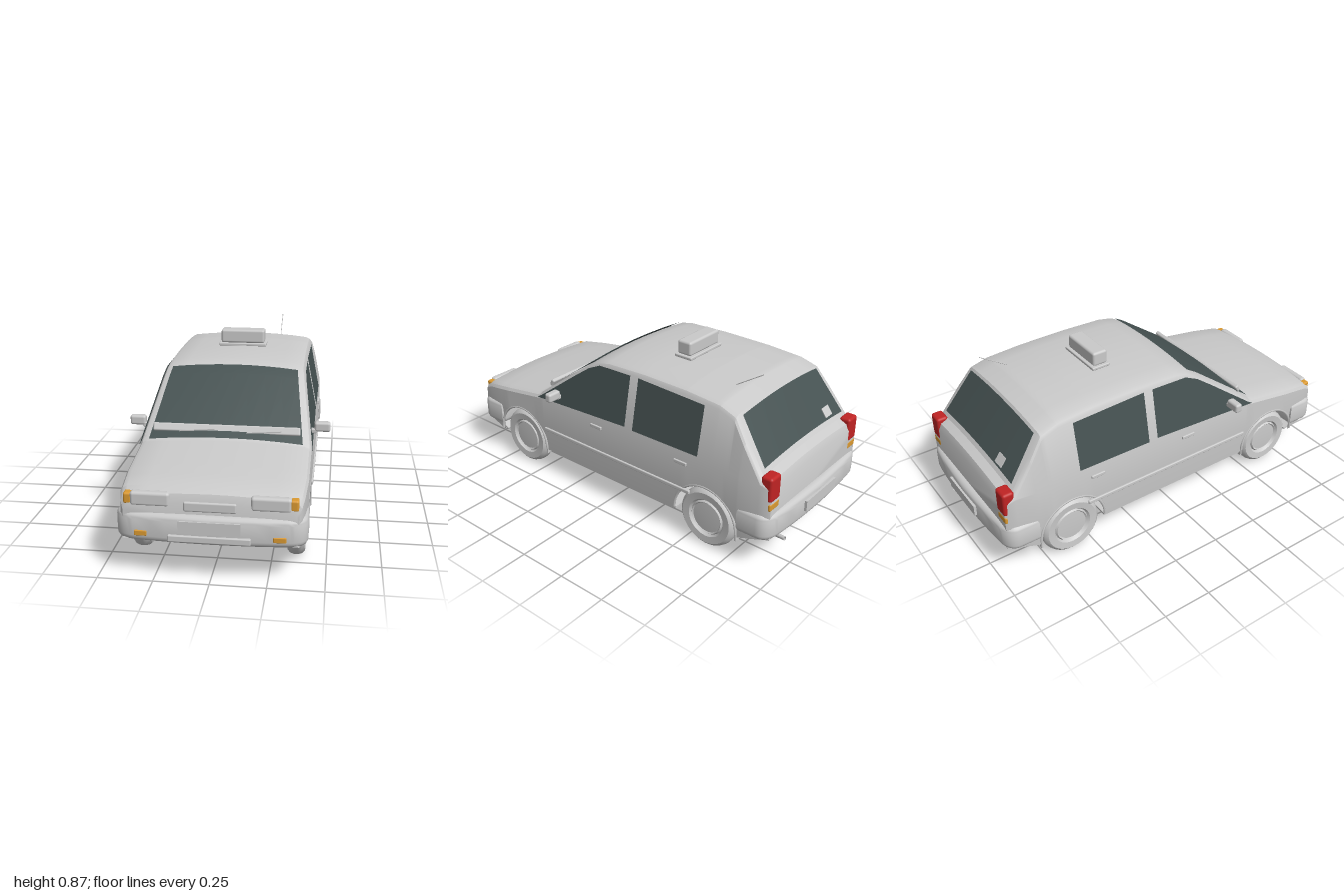
import * as THREE from 'three';
import { toCreasedNormals } from 'three/addons/utils/BufferGeometryUtils.js';
import { RoundedBoxGeometry } from 'three/addons/geometries/RoundedBoxGeometry.js';

const paint = new THREE.MeshStandardMaterial({ name: 'paintGrey', color: 0xcacaca, side: THREE.DoubleSide });
const glass = new THREE.MeshStandardMaterial({ name: 'darkGlass', color: 0x465252, side: THREE.DoubleSide });
const amber = new THREE.MeshStandardMaterial({ name: 'amberLamp', color: 0xdb9a32 });
const red = new THREE.MeshStandardMaterial({ name: 'redLamp', color: 0xc02424 });

// centre-line height, plan narrowing, sill height and wheel arches, all along z
const PROFILE = [[0.96, 0.36], [0.945, 0.4], [0.9, 0.425], [0.75, 0.45], [0.6, 0.472], [0.49, 0.488], [0.165, 0.727],
  [0.1, 0.765], [0.03, 0.78], [-0.2, 0.788], [-0.45, 0.785], [-0.64, 0.772], [-0.73, 0.743], [-0.9, 0.508],
  [-0.94, 0.49], [-0.955, 0.455]];
const NARROW = [[0.96, 0.92], [0.945, 0.95], [0.9, 0.975], [0.75, 1], [-0.8, 1], [-0.9, 0.975], [-0.94, 0.955], [-0.955, 0.93]];
const WHEELS = [0.63, -0.615], WHEEL_Y = 0.155, ARCH = 0.175;

function lerpTable(table, z) {
  if (z >= table[0][0]) return table[0][1];
  for (let i = 1; i < table.length; i++) {
    const [z1, v1] = table[i], [z0, v0] = table[i - 1];
    if (z >= z1) return v0 + (v1 - v0) * (z - z0) / (z1 - z0);
  }
  return table[table.length - 1][1];
}
const top = (z) => lerpTable(PROFILE, z);
const width = (y) => y > 0.46 ? 0.41 - (y - 0.46) * 0.2 : y > 0.3 ? 0.415 - (y - 0.3) * 0.03 : 0.415 - (0.3 - y) * 0.07;
function bottom(z) {
  for (const w of WHEELS) {
    const d = Math.abs(z - w);
    if (d <= ARCH) return WHEEL_Y + Math.sqrt(ARCH * ARCH - d * d);
  }
  return 0.135 + 0.05 * Math.max(0, (Math.abs(z) - 0.8) / 0.16);
}
// point on the bonnet, screens or roof; u runs -1..1 across
function topPoint(u, z) {
  const t = top(z);
  return [u * (width(t - 0.045) - 0.03) * lerpTable(NARROW, z), t - 0.02 * u * u, z];
}

// indexed surface from rows of points
function loft(rows, caps) {
  const n = rows[0].length, index = [], last = (rows.length - 1) * n;
  for (let i = 0; i < rows.length - 1; i++) for (let j = 0; j < n - 1; j++) {
    const a = i * n + j, b = a + n;
    index.push(a, b, a + 1, b, b + 1, a + 1);
  }
  if (caps) for (let j = 1; j < n - 1; j++) {
    index.push(0, j, j + 1, last, last + j + 1, last + j);
  }
  const g = new THREE.BufferGeometry();
  g.setAttribute('position', new THREE.Float32BufferAttribute(rows.flat(2), 3));
  g.setIndex(index);
  return toCreasedNormals(g, 0.5);
}

function bodyGeometry() {
  const zs = [...PROFILE, ...NARROW].map((p) => p[0]);
  for (const w of WHEELS) {
    for (let a = 0; a <= 16; a++) zs.push(w + ARCH * 0.99999 * Math.cos(a * Math.PI / 16));
    zs.push(w + ARCH + 0.001, w - ARCH - 0.001);
  }
  const rows = [...new Set(zs)].sort((a, b) => b - a).map((z) => {
    const t = top(z), b = bottom(z), s = lerpTable(NARROW, z);
    const side = [b, Math.max(Math.min(0.3, t - 0.07), b + 0.02), Math.min(0.46, t - 0.05), t - 0.045]
      .map((y) => [width(y) * s, y, z]);
    side.push([(width(t - 0.045) - 0.01) * s, t - 0.03, z]);
    const crown = [];
    for (let k = 4; k >= -4; k--) crown.push(topPoint(k / 4, z));
    return [...side, ...crown, ...side.map(([x, y]) => [-x, y, z]).reverse()];
  });
  return loft(rows, true);
}

// glass following the sloping front or rear of the cabin
function screenGeometry(zs, u, dz) {
  return loft(zs.map((z) => {
    const row = [];
    for (let k = 4; k >= -4; k--) {
      const [x, y] = topPoint(u * k / 4, z);
      row.push([x, y + 0.005, z + dz]);
    }
    return row;
  }), false);
}

// flat side window from (z, y) outline points
function sideWindow(points, side) {
  const g = new THREE.ShapeGeometry(new THREE.Shape(points.map(([z, y]) => new THREE.Vector2(z, y))));
  const p = g.attributes.position;
  for (let i = 0; i < p.count; i++) {
    const z = p.getX(i), y = p.getY(i);
    p.setXYZ(i, side * (width(y) + 0.004), y, z);
  }
  g.computeVertexNormals();
  return g;
}

function bumperGeometry() {
  const s = new THREE.Shape();
  s.moveTo(-0.39, 0.83);
  s.lineTo(0.39, 0.83);
  s.lineTo(0.39, 0.9);
  s.quadraticCurveTo(0.39, 0.94, 0.32, 0.945);
  s.quadraticCurveTo(0, 0.975, -0.32, 0.945);
  s.quadraticCurveTo(-0.39, 0.94, -0.39, 0.9);
  const g = new THREE.ExtrudeGeometry(s, { depth: 0.075, bevelThickness: 0.03, bevelSize: 0.03, bevelSegments: 5, curveSegments: 10 });
  g.rotateX(Math.PI / 2).translate(0, 0.28, 0);
  return toCreasedNormals(g, 0.6);
}

function wheelGeometry() {
  const pts = [[0, -0.035], [0.1, -0.035], [0.135, -0.04], [0.149, -0.028], [0.155, -0.01], [0.155, 0.01], [0.149, 0.028],
    [0.135, 0.04], [0.1, 0.037], [0.091, 0.026], [0.084, 0.035], [0.078, 0.029], [0, 0.033]];
  const g = new THREE.LatheGeometry(pts.map(([r, h]) => new THREE.Vector2(r, h)), 36);
  return toCreasedNormals(g.rotateZ(-Math.PI / 2), 0.7);
}

export function createModel() {
  const car = new THREE.Group();
  car.name = 'car';
  const add = (name, geometry, material, x = 0, y = 0, z = 0) => {
    const m = new THREE.Mesh(geometry, material);
    m.name = name;
    m.position.set(x, y, z);
    car.add(m);
    return m;
  };
  const box = (name, w, h, d, x, y, z, mat = paint, r = 0) =>
    add(name, r ? new RoundedBoxGeometry(w, h, d, 3, r) : new THREE.BoxGeometry(w, h, d), mat, x, y, z);
  const tube = (name, points, r) => add(name, new THREE.TubeGeometry(
    new THREE.CatmullRomCurve3(points.map((p) => new THREE.Vector3(...p))), 16, r, 8), paint);

  // shell and screens
  add('body', bodyGeometry(), paint);
  add('windscreen', screenGeometry([0.485, 0.165, 0.112], 0.97, 0.005), glass);
  add('rearWindow', screenGeometry([-0.738, -0.885], 0.95, -0.005), glass);
  box('windscreenSticker', 0.06, 0.05, 0.004, -0.22, 0.562, -0.873).rotation.x = 0.62;

  // underside
  box('floor', 0.8, 0.01, 0.89, 0, 0.14, 0.008);
  box('frontFloor', 0.56, 0.01, 0.36, 0, 0.14, 0.63);
  box('rearFloor', 0.56, 0.01, 0.36, 0, 0.14, -0.615);
  for (const s of [1, -1]) box('valance', 0.77, 0.008, 0.165, 0, 0.16, s * 0.878).rotation.x = -s * 0.3;
  box('underbodyTank', 0.415, 0.075, 0.3, 0, 0.098, -0.53);
  tube('exhaustPipe', [[0.2, 0.09, 0.47], [0.2, 0.09, -0.1], [0.2, 0.09, -0.6], [0.205, 0.088, -0.75], [0.235, 0.105, -0.955]], 0.01);

  // bumpers and nose
  add('frontBumper', bumperGeometry(), paint);
  add('rearBumper', bumperGeometry(), paint).rotation.y = Math.PI;
  box('frontPlate', 0.27, 0.055, 0.03, 0, 0.262, 0.98);
  box('frontBumperStrip', 0.36, 0.03, 0.04, 0, 0.209, 0.98, paint, 0.005);
  box('rearPlate', 0.27, 0.055, 0.03, 0, 0.25, -0.985);
  box('grillePanel', 0.23, 0.045, 0.02, 0, 0.345, 0.955, paint, 0.008);

  // cowl strip and wipers
  box('cowlStrip', 0.71, 0.04, 0.022, 0, 0.525, 0.442, paint, 0.008).rotation.x = -0.5;
  for (const x of [-0.14, 0.18]) box('wiper', 0.17, 0.005, 0.005, x, 0.521, 0.46).rotation.z = 0.08;

  // roof sign and aerial
  box('signBase', 0.256, 0.016, 0.1, 0, 0.793, -0.257, paint, 0.005);
  box('roofSign', 0.235, 0.072, 0.08, 0, 0.836, -0.255, paint, 0.012);
  tube('aerial', [[0.18, 0.775, -0.61], [0.18, 0.865, -0.75]], 0.002);

  for (const s of [1, -1]) {
    // side glass
    add('frontSideWindow', sideWindow([[0.495, 0.45], [0.465, 0.468], [0.23, 0.643], [0.15, 0.7], [0.08, 0.732],
      [-0.12, 0.737], [-0.12, 0.48]], s), glass);
    add('rearSideWindow', sideWindow([[-0.17, 0.738], [-0.565, 0.725], [-0.565, 0.48], [-0.17, 0.476]], s), glass);

    // lamps
    box('headlight', 0.175, 0.065, 0.04, s * 0.262, 0.369, 0.943, paint, 0.014);
    box('frontIndicator', 0.038, 0.052, 0.06, s * 0.361, 0.368, 0.927, amber, 0.01);
    box('bumperIndicator', 0.056, 0.025, 0.03, s * 0.302, 0.219, 0.967, amber, 0.004);
    box('tailLamp', 0.08, 0.125, 0.06, s * 0.352, 0.44, -0.928, red, 0.014);
    box('rearIndicator', 0.075, 0.038, 0.055, s * 0.354, 0.353, -0.929, amber, 0.008);

    // door trim and mirrors
    box('sideMoulding', 0.014, 0.02, 0.98, s * 0.415, 0.273, -0.04, paint, 0.005);
    for (const z of [0.07, -0.47]) box('doorHandle', 0.012, 0.018, 0.075, s * 0.413, 0.415, z, paint, 0.004);
    box('mirrorArm', 0.05, 0.022, 0.025, s * 0.405, 0.5, 0.335, paint, 0.005);
    box('mirror', 0.078, 0.048, 0.04, s * 0.456, 0.521, 0.33, paint, 0.012);

    // wheels, arch lips and mudflaps
    for (const z of WHEELS) {
      add('wheel', wheelGeometry(), paint, s * 0.36, WHEEL_Y, z).rotation.y = s > 0 ? 0 : Math.PI;
      add('archLip', new THREE.TorusGeometry(ARCH + 0.004, 0.007, 6, 24, Math.PI), paint, s * 0.41, WHEEL_Y, z).rotation.y = Math.PI / 2;
      box('mudflap', 0.13, 0.07, 0.008, s * 0.345, 0.15, z - ARCH - 0.002);
    }
  }
  return car;
}
